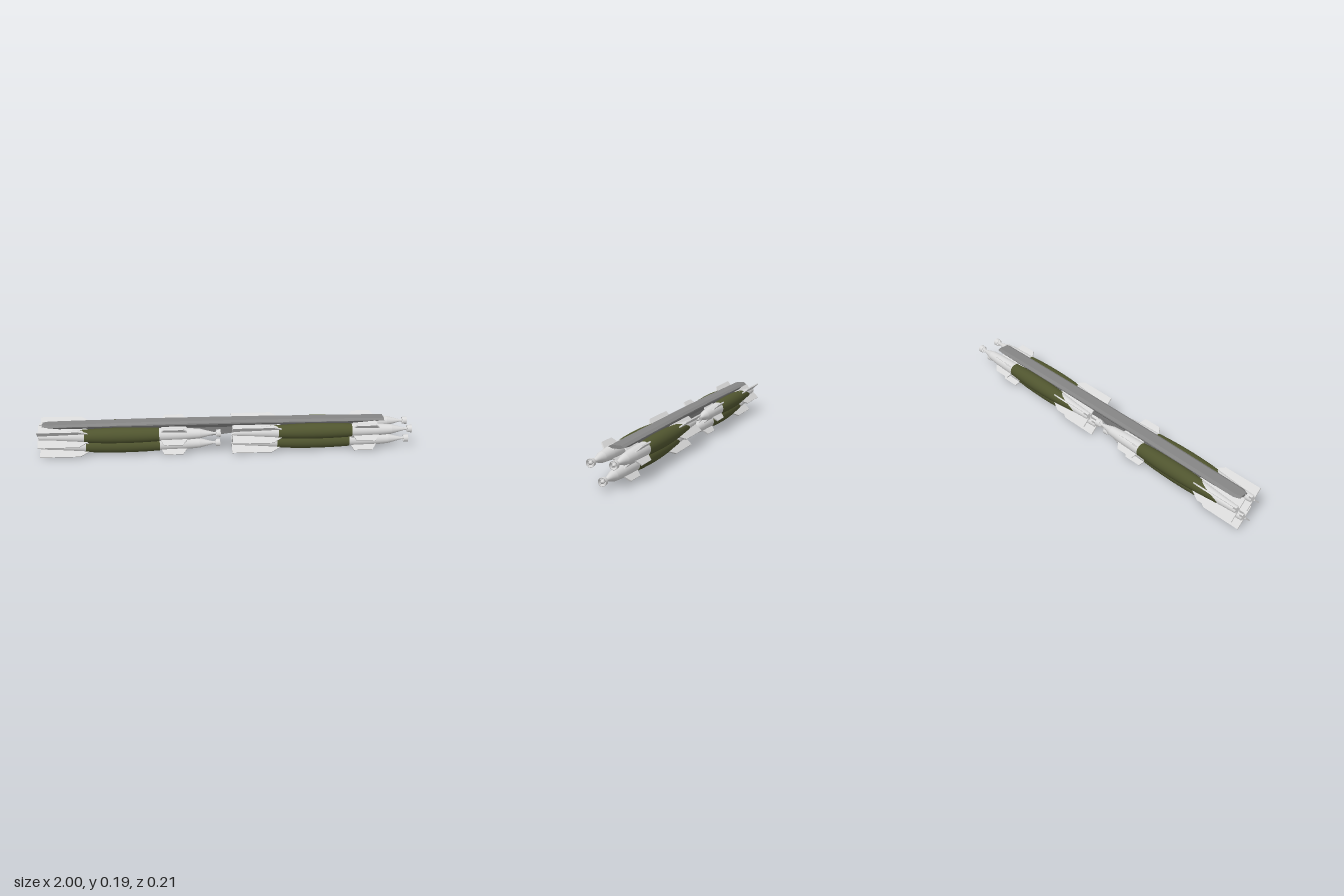
import * as THREE from 'three';

const light = new THREE.MeshStandardMaterial({ name: 'lightGrey', color: 0xd9d9d9 });
const olive = new THREE.MeshStandardMaterial({ name: 'olive', color: 0x50552f });
const grey = new THREE.MeshStandardMaterial({ name: 'rackGrey', color: 0x858585 });

function add(parent, name, geometry, material) {
  const mesh = new THREE.Mesh(geometry, material);
  mesh.name = name;
  parent.add(mesh);
  return mesh;
}

// Turned part along +x from [x, radius] pairs
function turned(points) {
  const profile = points.map(([x, r]) => new THREE.Vector2(r, x));
  return new THREE.LatheGeometry(profile, 24).rotateZ(-Math.PI / 2);
}

// Paint over the tail cone whose rear edge sweeps back to a point on the -z side
function rearPaint() {
  const geometry = turned([[0.24, 0.035], [0.252, 0.036]]);
  const pos = geometry.attributes.position;
  for (let i = 0; i < pos.count; i++) {
    if (pos.getX(i) > 0.246) continue;
    const angle = Math.atan2(-pos.getY(i), pos.getZ(i));
    const sweep = ((1 + Math.cos(angle - Math.PI * 0.92)) / 2) ** 2;
    const x = 0.246 - 0.135 * sweep;
    const r = 0.0246 + (x - 0.1) * 0.0767;
    pos.setXYZ(i, x, -r * Math.sin(angle), r * Math.cos(angle));
  }
  geometry.computeVertexNormals();
  return geometry;
}

// Thin plate from an outline of [x, radial distance] pairs
function plate(points, thickness) {
  const shape = new THREE.Shape(points.map(([x, y]) => new THREE.Vector2(x, y)));
  return new THREE.ExtrudeGeometry(shape, { depth: thickness, bevelEnabled: false })
    .translate(0, 0, -thickness / 2);
}

// Four plates in an X around the body
function cross(parent, name, geometry) {
  for (let i = 0; i < 4; i++) {
    add(parent, name, geometry, light).rotation.x = Math.PI / 4 + i * Math.PI / 2;
  }
}

function createBomb() {
  const bomb = new THREE.Group();
  bomb.name = 'bomb';
  add(bomb, 'tailDisc', turned([[0.005, 0], [0.005, 0.019]]), light);
  add(bomb, 'tailCone', turned([[0.005, 0.019], [0.1, 0.024], [0.25, 0.0355]]), light);
  add(bomb, 'rearBodyPaint', rearPaint(), olive);
  add(bomb, 'body', turned([[0.25, 0.0355], [0.3, 0.0385], [0.36, 0.041], [0.43, 0.042],
    [0.5, 0.0415], [0.58, 0.039], [0.64, 0.0355]]), olive);
  // Guidance section and nose
  add(bomb, 'guidanceCollar', turned([[0.638, 0.0355], [0.78, 0.032]]), light);
  add(bomb, 'guidanceSection', turned([[0.78, 0.032], [0.855, 0.026]]), light);
  add(bomb, 'noseCone', turned([[0.855, 0.026], [0.928, 0.007]]), light);
  add(bomb, 'seekerNeck', turned([[0.925, 0.007], [0.95, 0.006], [0.956, 0.01], [0.965, 0.008], [0.97, 0]]), light);
  add(bomb, 'seekerRing', turned([[0.943, 0.0165], [0.943, 0.019], [0.966, 0.021], [0.966, 0.0185], [0.943, 0.0165]]), light);
  cross(bomb, 'seekerStrut', plate([[0.938, 0.004], [0.962, 0.004], [0.962, 0.0185], [0.947, 0.0185]], 0.003));
  // Fins
  cross(bomb, 'tailFin', plate([[0, 0.012], [0.27, 0.032], [0.215, 0.064], [0, 0.064]], 0.007));
  cross(bomb, 'frontFin', plate([[0.645, 0.028], [0.79, 0.028], [0.765, 0.064], [0.665, 0.064]], 0.007));
  return bomb;
}

// Closed faceted loft through matching rings of [x, y, z]
function loft(rings) {
  const pos = [];
  const n = rings[0].length;
  const tri = (a, b, c) => pos.push(...a, ...b, ...c);
  for (let i = 0; i < rings.length - 1; i++) {
    for (let j = 0; j < n; j++) {
      const k = (j + 1) % n;
      const a = rings[i][j], b = rings[i][k], c = rings[i + 1][k], d = rings[i + 1][j];
      tri(a, b, c);
      tri(a, c, d);
    }
  }
  const first = rings[0], last = rings[rings.length - 1];
  for (let j = 1; j < n - 1; j++) {
    tri(first[0], first[j + 1], first[j]);
    tri(last[0], last[j], last[j + 1]);
  }
  const geometry = new THREE.BufferGeometry();
  geometry.setAttribute('position', new THREE.Float32BufferAttribute(pos, 3));
  geometry.computeVertexNormals();
  return geometry;
}

// Beam section, running down the +z side, under and up the -z side
function beamRing([x, width, top, bottom]) {
  const edge = top - 0.009;
  const half = [[0.026, top], [0.041, edge], [0.041, Math.min(edge, 0.175)], [0.02, bottom]];
  const other = half.map(([z, y]) => [-z, y]).reverse();
  return [...half, ...other].map(([z, y]) => [x, y, z * width]);
}

// Keel section, tapering downwards
function keelRing([x, bottom]) {
  return [[x, 0.155, -0.017], [x, 0.155, 0.017], [x, bottom, 0.01], [x, bottom, -0.01]];
}

export function createModel() {
  const model = new THREE.Group();
  model.name = 'bombRack';

  // Two sets of three bombs, one behind the other
  for (const x of [-1, 0.03]) {
    for (const [y, z] of [[0.131, 0.057], [0.131, -0.057], [0.05, 0]]) {
      const bomb = createBomb();
      bomb.position.set(x, y, z);
      model.add(bomb);
    }
  }

  // Carrier beam: [x, width scale, top, bottom]
  const stations = [[-0.98, 0.65, 0.183, 0.17], [-0.95, 1, 0.184, 0.168], [-0.83, 1, 0.186, 0.15],
    [-0.4, 1, 0.191, 0.15], [0.1, 1, 0.191, 0.15], [0.7, 1, 0.186, 0.15], [0.85, 1, 0.184, 0.168]];
  add(model, 'carrierBeam', loft(stations.map(beamRing)), grey);

  // Keel that carries the lower bombs
  const keelStations = [[-0.78, 0.12], [-0.7, 0.09], [-0.13, 0.09], [0.03, 0.11],
    [0.3, 0.09], [0.55, 0.09], [0.63, 0.12]];
  add(model, 'keel', loft(keelStations.map(keelRing)), grey);
  return model;
}
